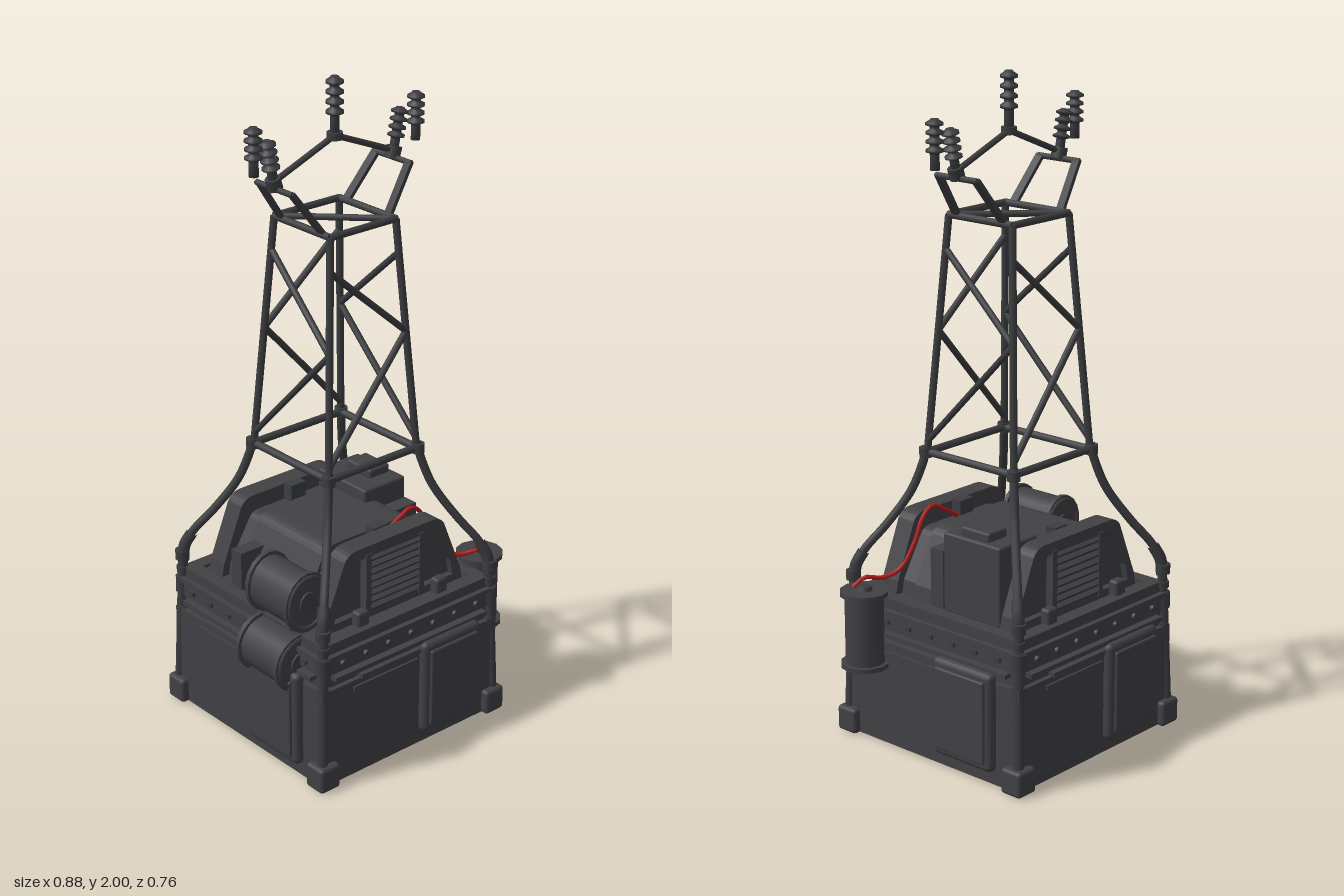
import * as THREE from 'three';
import { RoundedBoxGeometry } from 'three/addons/geometries/RoundedBoxGeometry.js';

const V = (x, y, z) => new THREE.Vector3(x, y, z);

export function createModel() {
  const paint = (name, color) => {
    const m = new THREE.MeshStandardMaterial({ color });
    m.name = name;
    return m;
  };
  const body = paint('charcoal body', 0x414145);
  const steel = paint('dark steel', 0x3c3d40);
  const red = paint('red cable', 0xb41c1c);

  const model = new THREE.Group();
  model.name = 'pylonGenerator';
  const core = new THREE.Group();
  core.name = 'core';
  core.position.x = -0.015;
  model.add(core);

  const add = (parent, name, geo, mat, x = 0, y = 0, z = 0) => {
    const m = new THREE.Mesh(geo, mat);
    m.name = name;
    m.position.set(x, y, z);
    parent.add(m);
    return m;
  };
  // Box given by its minimum and maximum corners, optionally rounded
  const box = (parent, name, a, b, mat = body, round = 0) => {
    const s = [b[0] - a[0], b[1] - a[1], b[2] - a[2]];
    const geo = round ? new RoundedBoxGeometry(...s, 2, round) : new THREE.BoxGeometry(...s);
    return add(parent, name, geo, mat, (a[0] + b[0]) / 2, (a[1] + b[1]) / 2, (a[2] + b[2]) / 2);
  };
  // Round bar between two points
  const bar = (parent, name, a, b, r) => {
    const mid = a.clone().add(b).multiplyScalar(0.5);
    const m = add(parent, name, new THREE.CylinderGeometry(r, r, a.distanceTo(b), 8), steel, mid.x, mid.y, mid.z);
    m.quaternion.setFromUnitVectors(V(0, 1, 0), b.clone().sub(a).normalize());
    return m;
  };
  const tube = (parent, name, pts, r, mat) =>
    add(parent, name, new THREE.TubeGeometry(new THREE.CatmullRomCurve3(pts), 28, r, 8), mat);

  // Half width of the lattice at a given height
  const half = y => 0.17 - (y - 0.88) * 0.068;

  // Four identical sides, each built facing +z with its right-hand corner
  for (let k = 0; k < 4; k++) {
    const side = new THREE.Group();
    side.name = 'side' + (k + 1);
    side.rotation.y = k * Math.PI / 2;
    core.add(side);

    // Hollow hull wall with a locker passing through it
    box(side, 'hullWall', [-0.346, 0.004, 0.328], [0.346, 0.32, 0.346]);
    box(side, 'lockerBox', [0.045, 0.05, 0.2], [0.25, 0.3, 0.34]);
    box(side, 'lockerDoor', [0.03, 0.045, 0.335], [0.26, 0.35, 0.373], body, 0.018);
    box(side, 'lockerInset', [0.05, 0.07, 0.368], [0.24, 0.325, 0.382], body, 0.006);
    // Horizontal rails on the upper wall
    for (const [x0, x1, y] of [[-0.23, 0.02, 0.295], [-0.2, 0.05, 0.325], [-0.3, 0.3, 0.352]])
      box(side, 'wallRail', [x0, y - 0.007, 0.325], [x1, y + 0.007, 0.353]);

    // Riveted belt and deck rim
    box(side, 'recess', [-0.33, 0.32, 0.29], [0.33, 0.37, 0.33]);
    box(side, 'belt', [-0.34, 0.37, 0.29], [0.34, 0.425, 0.34]);
    box(side, 'beltLip', [-0.34, 0.415, 0.3], [0.34, 0.428, 0.347]);
    box(side, 'deckRim', [-0.325, 0.425, 0.285], [0.325, 0.46, 0.33]);
    for (let i = -3; i <= 3; i++) {
      const rivet = add(side, 'rivet', new THREE.CylinderGeometry(0.009, 0.011, 0.012, 8), steel, i * 0.088, 0.393, 0.343);
      rivet.rotation.x = Math.PI / 2;
    }

    // Corner foot, post and collars
    box(side, 'foot', [0.295, 0, 0.295], [0.37, 0.08, 0.37], body, 0.012);
    bar(side, 'post', V(0.342, 0.07, 0.342), V(0.327, 0.5, 0.327), 0.015);
    for (const [y, r, h] of [[0.22, 0.019, 0.02], [0.3, 0.02, 0.05], [0.4, 0.023, 0.05], [0.45, 0.019, 0.02], [0.5, 0.022, 0.03]])
      add(side, 'postCollar', new THREE.CylinderGeometry(r, r, h, 10), steel, 0.329, y, 0.329);

    // Tower leg, elbowed inside a short sleeve below and straight above
    tube(side, 'legSleeve', [V(0.327, 0.48, 0.327), V(0.323, 0.53, 0.323), V(0.306, 0.575, 0.306)], 0.018, steel);
    tube(side, 'curvedLeg', [V(0.327, 0.48, 0.327), V(0.323, 0.53, 0.323), V(0.304, 0.58, 0.304), V(0.258, 0.656, 0.258),
      V(0.205, 0.76, 0.205), V(0.179, 0.85, 0.179), V(0.17, 0.9, 0.17)], 0.013, steel);
    const h0 = half(0.88), h1 = half(1.59);
    bar(side, 'towerLeg', V(h0, 0.88, h0), V(h1, 1.59, h1), 0.011);
    add(side, 'legCollar', new THREE.CylinderGeometry(0.02, 0.02, 0.03, 10), steel, h0 + 0.003, 0.88, h0 + 0.003);

    // Ring bars and a zigzag of single braces
    bar(side, 'lowerRing', V(-h0 - 0.01, 0.88, h0), V(h0 + 0.01, 0.88, h0), 0.012);
    bar(side, 'upperRing', V(-h1, 1.59, h1), V(h1, 1.59, h1), 0.011);
    for (const [y0, y1, s] of [[0.915, 1.25, 1], [1.25, 1.49, -1]])
      bar(side, 'zigzagBrace', V(-s * half(y0), y0, half(y0)), V(s * half(y1), y1, half(y1)), 0.01);
  }
  bar(core, 'ringDiagonal', V(-0.12, 1.59, -0.12), V(0.12, 1.59, 0.12), 0.01);
  box(core, 'deck', [-0.32, 0.3, -0.32], [0.32, 0.45, 0.32]);

  // Engine housing: trapezoid blocks along z
  const outline = (w0, w1, y0, y1, c, Type = THREE.Shape) => {
    const s = new Type();
    s.moveTo(-w0, y0);
    s.lineTo(w0, y0);
    s.lineTo(w0 - 0.01, y0 + 0.05);
    s.lineTo(w1 + c, y1 - c);
    s.quadraticCurveTo(w1 + c * 0.4, y1, w1 - c, y1);
    s.lineTo(c - w1, y1);
    s.quadraticCurveTo(-w1 - c * 0.4, y1, -w1 - c, y1 - c);
    s.lineTo(-w0 + 0.01, y0 + 0.05);
    s.closePath();
    return s;
  };
  const slab = (parent, name, shape, z0, z1) =>
    add(parent, name, new THREE.ExtrudeGeometry(shape, { depth: z1 - z0, bevelEnabled: false, curveSegments: 5 }), body, 0, 0, z0);
  slab(core, 'housingMiddle', outline(0.26, 0.15, 0.44, 0.655, 0.025), -0.15, 0.15);
  for (const turn of [0, Math.PI]) {
    const end = new THREE.Group();
    end.name = turn ? 'backHousing' : 'frontHousing';
    end.rotation.y = turn;
    core.add(end);
    slab(end, 'housingNeck', outline(0.25, 0.145, 0.44, 0.635, 0.02), 0.14, 0.215);
    slab(end, 'housingBlock', outline(0.265, 0.16, 0.44, 0.67, 0.025), 0.205, 0.247);
    const frame = outline(0.275, 0.17, 0.44, 0.685, 0.025);
    frame.holes.push(outline(0.235, 0.135, 0.475, 0.65, 0.02, THREE.Path));
    slab(end, 'housingFrame', frame, 0.205, 0.268);
    // Louvred grille
    for (const s of [-1, 1])
      box(end, 'grilleSide', [s * 0.105 - 0.01, 0.46, 0.24], [s * 0.105 + 0.01, 0.66, 0.272]);
    for (let i = 0; i < 8; i++) {
      const slat = box(end, 'louvre', [-0.097, 0.473 + i * 0.023, 0.248], [0.097, 0.482 + i * 0.023, 0.27], steel);
      slat.rotation.x = 0.4;
    }
    box(end, 'roofCatch', [-0.028, 0.62, 0.17], [0.028, 0.69, 0.205], steel);
    for (const s of [-1, 1])
      box(end, 'deckKnob', [s * 0.155 - 0.022, 0.45, 0.275], [s * 0.155 + 0.022, 0.505, 0.31], body, 0.01);
  }

  // Control cabinet and deck fittings
  box(core, 'cabinet', [0.11, 0.45, -0.21], [0.275, 0.695, 0.01], body, 0.008);
  box(core, 'cabinetCap', [0.18, 0.69, -0.155], [0.26, 0.722, -0.045], body, 0.008);
  box(core, 'sideDuct', [0.17, 0.45, 0.02], [0.265, 0.63, 0.07]);
  box(core, 'deckBlock', [-0.29, 0.45, -0.135], [-0.18, 0.58, -0.09]);

  // Two drums on the side, the upper one slightly flattened
  for (const [x, y, r, squash] of [[-0.304, 0.557, 0.095, 0.86], [-0.333, 0.371, 0.092, 1]]) {
    const drum = new THREE.Group();
    drum.name = 'sideDrum';
    drum.position.set(x, y, 0.14);
    drum.rotation.x = Math.PI / 2;
    drum.scale.x = squash;
    core.add(drum);
    add(drum, 'drumBarrel', new THREE.CylinderGeometry(r - 0.01, r - 0.01, 0.17, 18), body);
    for (const s of [-1, 1]) {
      add(drum, 'drumRim', new THREE.CylinderGeometry(r, r, 0.014, 18), body, 0, s * 0.086, 0);
      add(drum, 'drumHub', new THREE.CylinderGeometry(0.035, 0.035, 0.01, 12), steel, 0, s * 0.094, 0);
      const lip = add(drum, 'drumLip', new THREE.TorusGeometry(r - 0.014, 0.007, 6, 18), body, 0, s * 0.092, 0);
      lip.rotation.x = Math.PI / 2;
    }
  }

  // Cable spool and its red cable
  const spool = new THREE.Group();
  spool.name = 'cableSpool';
  spool.position.set(0.379, 0, 0.234);
  core.add(spool);
  add(spool, 'spoolBarrel', new THREE.CylinderGeometry(0.06, 0.06, 0.22, 12), body, 0, 0.37, 0);
  for (const y of [0.257, 0.482])
    add(spool, 'spoolFlange', new THREE.CylinderGeometry(0.073, 0.073, 0.014, 12), body, 0, y, 0);
  add(spool, 'spoolHub', new THREE.CylinderGeometry(0.02, 0.026, 0.014, 12), steel, 0, 0.494, 0);
  tube(core, 'redCable', [V(0.033, 0.645, 0.18), V(0.09, 0.68, 0.185), V(0.135, 0.7, 0.187), V(0.172, 0.675, 0.188),
    V(0.207, 0.6, 0.192), V(0.25, 0.525, 0.211), V(0.3, 0.505, 0.235), V(0.35, 0.513, 0.26), V(0.385, 0.487, 0.275)], 0.0065, red);

  // Crown: flat arms, end bars and the peaked top bar
  const peak = V(0, 1.83, 0);
  for (const s of [-1, 1]) {
    for (const z of [-1, 1]) {
      const foot = V(s * 0.12, 1.59, z * 0.09), tip = V(s * 0.218, 1.725, z * 0.07);
      const mid = foot.clone().add(tip).multiplyScalar(0.5);
      const arm = add(core, 'crownArm', new THREE.BoxGeometry(0.012, foot.distanceTo(tip), 0.026), steel, mid.x, mid.y, mid.z);
      arm.quaternion.setFromUnitVectors(V(0, 1, 0), tip.sub(foot).normalize());
    }
    bar(core, 'crownEndBar', V(s * 0.218, 1.722, -0.078), V(s * 0.218, 1.722, 0.078), 0.009);
    bar(core, 'crownBar', V(s * 0.23, 1.738, 0), peak, 0.009);
    const joint = add(core, 'crownJoint', new THREE.CylinderGeometry(0.023, 0.023, 0.034, 10), steel, s * 0.22, 1.737, 0);
    joint.rotation.z = -s * 0.3;
  }
  add(core, 'peakJoint', new THREE.CylinderGeometry(0.023, 0.023, 0.022, 10), steel, 0, 1.83, 0);

  // Ribbed insulators
  const profile = [[0, 0], [0.014, 0], [0.014, 0.045]];
  for (let i = 0; i < 4; i++) {
    const y = 0.05 + i * 0.026;
    profile.push([0.014, y], [0.026, y + 0.004], [0.026, y + 0.011], [0.014, y + 0.018]);
  }
  profile.push([0.012, 0.15], [0, 0.15]);
  const insulatorGeo = new THREE.LatheGeometry(profile.map(p => new THREE.Vector2(...p)), 12);
  const insulator = (x, y, tilt, stretch) => {
    const m = add(core, 'insulator', insulatorGeo, steel, x, y, 0);
    m.rotation.z = tilt;
    m.scale.y = stretch;
  };
  insulator(0, 1.835, 0, 1.1);
  insulator(-0.29, 1.772, 0, 0.93);
  insulator(0.306, 1.756, 0, 0.95);
  for (const s of [-1, 1])
    insulator(s * 0.22, 1.735, -s * 0.2, 0.88);
  return model;
}
